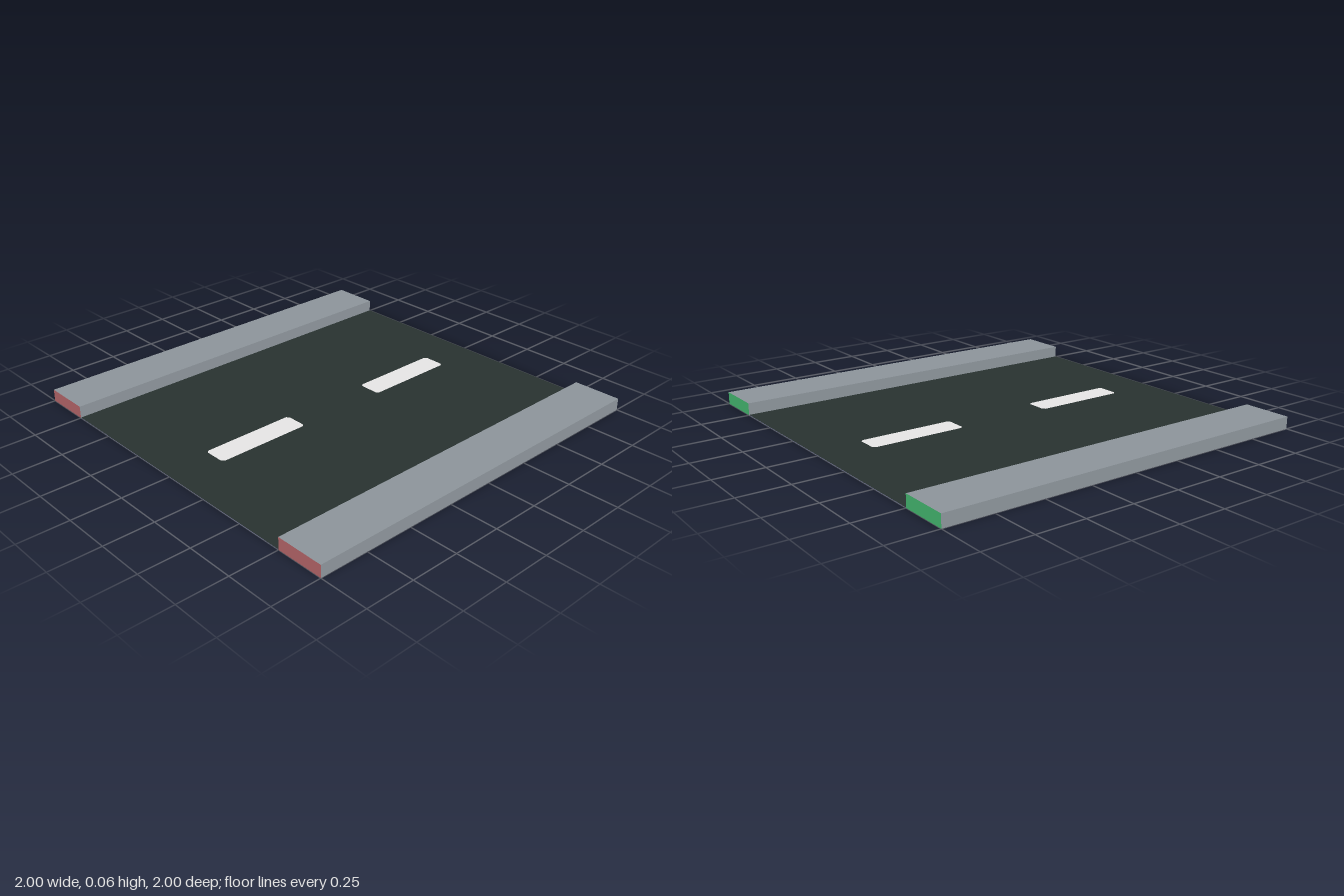
import * as THREE from 'three';

function material(name, color, side = THREE.FrontSide) {
  const m = new THREE.MeshStandardMaterial({ color, side });
  m.name = name;
  return m;
}

export function createModel() {
  const asphalt = material('asphalt', 0x283230, THREE.DoubleSide);
  const paving = material('paving grey', 0x8c949a);
  const paint = material('road paint', 0xe6e4e4, THREE.DoubleSide);
  const green = material('end green', 0x58e88e);
  const red = material('end red', 0xe98489);
  const underside = material('underside', 0x6a6e92, THREE.DoubleSide);

  const group = new THREE.Group();
  group.name = 'roadTile';
  const add = (name, geometry, mat, x, y, z) => {
    const mesh = new THREE.Mesh(geometry, mat);
    mesh.name = name;
    mesh.position.set(x, y, z);
    group.add(mesh);
  };

  // Road sheet: asphalt just above the underside
  add('roadSurface', new THREE.PlaneGeometry(2, 1.5).rotateX(-Math.PI / 2), asphalt, 0, 0.002, 0);
  add('roadUnderside', new THREE.PlaneGeometry(2, 1.5).rotateX(Math.PI / 2), underside, 0, 0, 0);

  // Raised pavements with coloured connecting ends
  const height = 0.0625;
  const faces = [green, red, paving, underside, paving, paving];
  for (const [name, side] of [['frontPavement', 1], ['backPavement', -1]]) {
    add(name, new THREE.BoxGeometry(2, height, 0.25), faces, 0, height / 2, side * 0.875);
  }

  // Painted lane dashes with clipped corners
  const w = 0.25, d = 0.0625, c = 0.013;
  const dash = new THREE.Shape([
    [-w + c, -d], [w - c, -d], [w, -d + c], [w, d - c],
    [w - c, d], [-w + c, d], [-w, d - c], [-w, -d + c],
  ].map(([x, y]) => new THREE.Vector2(x, y)));
  for (const [name, side] of [['leftDash', 1], ['rightDash', -1]]) {
    add(name, new THREE.ShapeGeometry(dash).rotateX(-Math.PI / 2), paint, side * 0.5, 0.004, 0);
  }

  return group;
}
